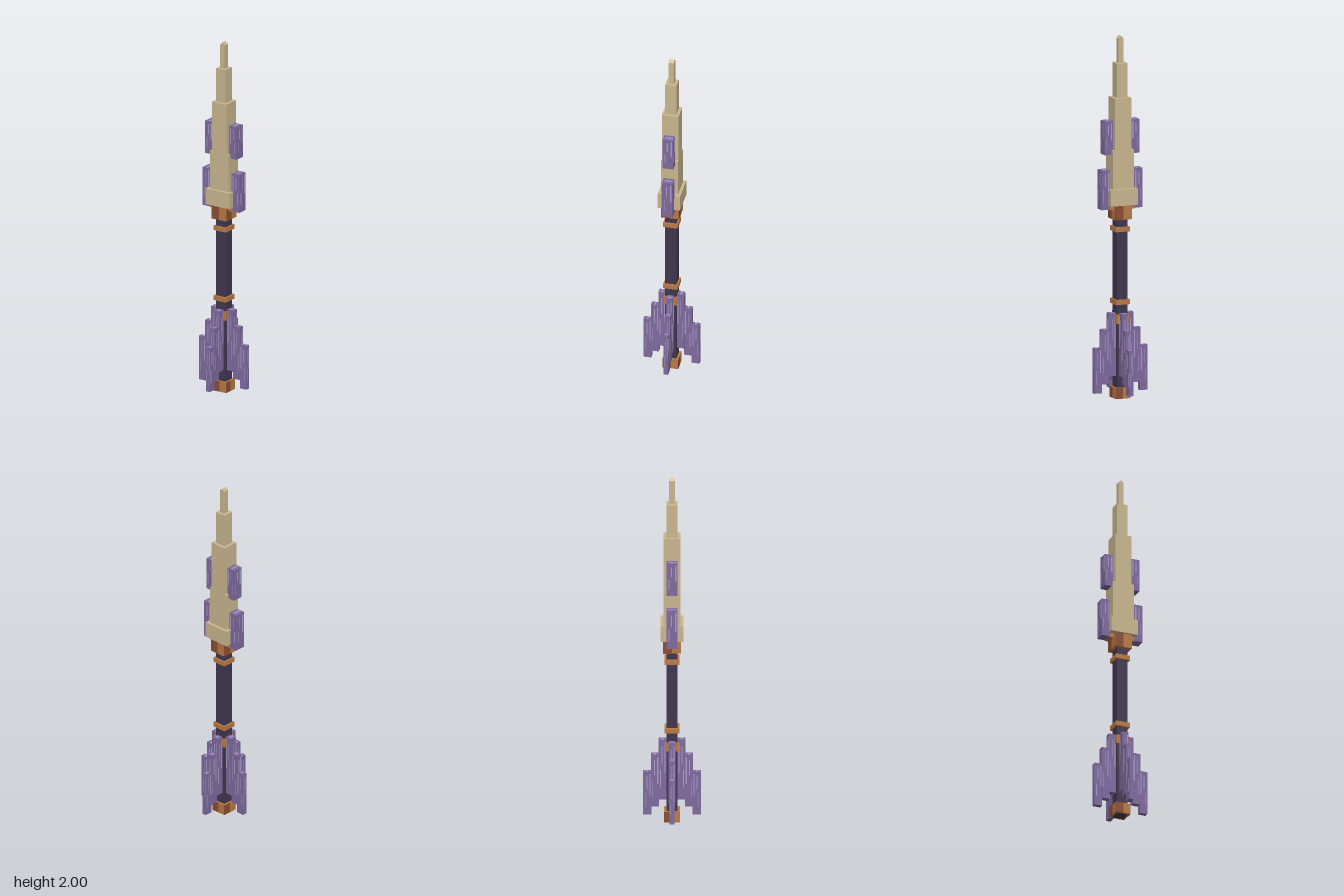
import * as THREE from 'three';

const material = (name, color) => Object.assign(new THREE.MeshStandardMaterial({ color }), { name });

export function createModel() {
  const bone = material('bone', 0xc9b78f);
  const violet = material('violet', 0x7f6a9f);
  const lilac = material('lilac', 0xa99cc6);
  const grip = material('dark grip', 0x40364f);
  const copper = material('copper', 0xba7a45);
  const rust = material('rust', 0x8c4e33);

  const model = new THREE.Group();
  model.name = 'ornateSpear';

  // Box given by its lower and upper limits on each axis
  function box(parent, name, mat, x0, x1, y0, y1, z0, z1) {
    const mesh = new THREE.Mesh(new THREE.BoxGeometry(x1 - x0, y1 - y0, z1 - z0), mat);
    mesh.position.set((x0 + x1) / 2, (y0 + y1) / 2, (z0 + z1) / 2);
    mesh.name = name;
    parent.add(mesh);
    return mesh;
  }
  const block = (name, mat, hx, y0, y1, hz = hx) => box(model, name, mat, -hx, hx, y0, y1, -hz, hz);

  // Copper block whose four sides are rust-coloured on their left half
  function copperBlock(name, h, y0, y1) {
    block(name, copper, h, y0, y1);
    for (let i = 0; i < 4; i++) {
      const side = new THREE.Group();
      side.name = name + 'Patina';
      side.rotation.y = i * Math.PI / 2;
      box(side, name + 'Shade', rust, -h, 0, y0, y1, h - 0.001, h + 0.001);
      model.add(side);
    }
  }

  // Violet plate with pale streaks on its broad and outer faces
  function plate(parent, name, x0, x1, y0, y1, hz) {
    box(parent, name, violet, x0, x1, y0, y1, -hz, hz);
    const w = x1 - x0, h = y1 - y0;
    for (const [a, b, c, d] of [[0.1, 0.24, 0.45, 0.95], [0.5, 0.6, 0.6, 0.9], [0.72, 0.8, 0.2, 0.5]]) {
      for (const s of [-1, 1]) {
        box(parent, name + 'Streak', lilac, x0 + a * w, x0 + b * w, y0 + c * h, y0 + d * h,
          s * hz - 0.001, s * hz + 0.001);
      }
      box(parent, name + 'EdgeStreak', lilac, x1 - 0.001, x1 + 0.001, y0 + c * h, y0 + d * h,
        hz * (2 * a - 1), hz * (2 * b - 1));
    }
    box(parent, name + 'TopStreak', lilac, x0 + 0.4 * w, x0 + 0.6 * w, y1 - 0.001, y1 + 0.001, -hz * 0.8, hz * 0.6);
  }

  // Shaft and its copper fittings
  block('shaft', grip, 0.031, 0, 1.0);
  copperBlock('pommel', 0.043, 0.002, 0.062);
  block('finCollar', copper, 0.038, 0.415, 0.465);
  block('lowerRing', copper, 0.041, 0.52, 0.547);
  block('upperRing', copper, 0.041, 0.922, 0.948);
  copperBlock('headSocket', 0.049, 0.99, 1.07);
  block('guardBar', copper, 0.076, 1.045, 1.069, 0.03);

  // Stepped blade
  block('bladeBase', bone, 0.079, 1.07, 1.16, 0.062);
  block('bladeLower', bone, 0.062, 1.16, 1.375, 0.046);
  block('bladeMiddle', bone, 0.048, 1.375, 1.66, 0.046);
  block('bladeUpper', bone, 0.031, 1.66, 1.85);
  block('bladeTip', bone, 0.015, 1.85, 1.985);

  // Ridge on the tip
  const roof = new THREE.Shape([
    new THREE.Vector2(-0.015, 0), new THREE.Vector2(0.015, 0), new THREE.Vector2(0, 0.015)]);
  const ridge = new THREE.Mesh(new THREE.ExtrudeGeometry(roof, { depth: 0.03, bevelEnabled: false }), bone);
  ridge.position.set(0, 1.985, -0.015);
  ridge.name = 'tipRidge';
  model.add(ridge);

  // Side plates floating beside the blade
  for (const [name, angle] of [['left', 0], ['right', Math.PI]]) {
    const wing = new THREE.Group();
    wing.name = name + 'SidePlates';
    wing.rotation.y = angle;
    plate(wing, 'lowerSidePlate', 0.071, 0.121, 1.048, 1.265, 0.03);
    plate(wing, 'upperSidePlate', 0.054, 0.103, 1.35, 1.535, 0.03);
    model.add(wing);
  }

  // Four stepped tail fins
  for (let i = 0; i < 4; i++) {
    const fin = new THREE.Group();
    fin.name = 'tailFin' + (i + 1);
    fin.rotation.y = i * Math.PI / 2;
    plate(fin, 'innerFeather', 0.031, 0.072, 0.125, 0.473, 0.018);
    plate(fin, 'middleFeather', 0.07, 0.114, 0.083, 0.385, 0.0155);
    plate(fin, 'outerFeather', 0.112, 0.156, 0.035, 0.285, 0.013);
    model.add(fin);
  }
  return model;
}
